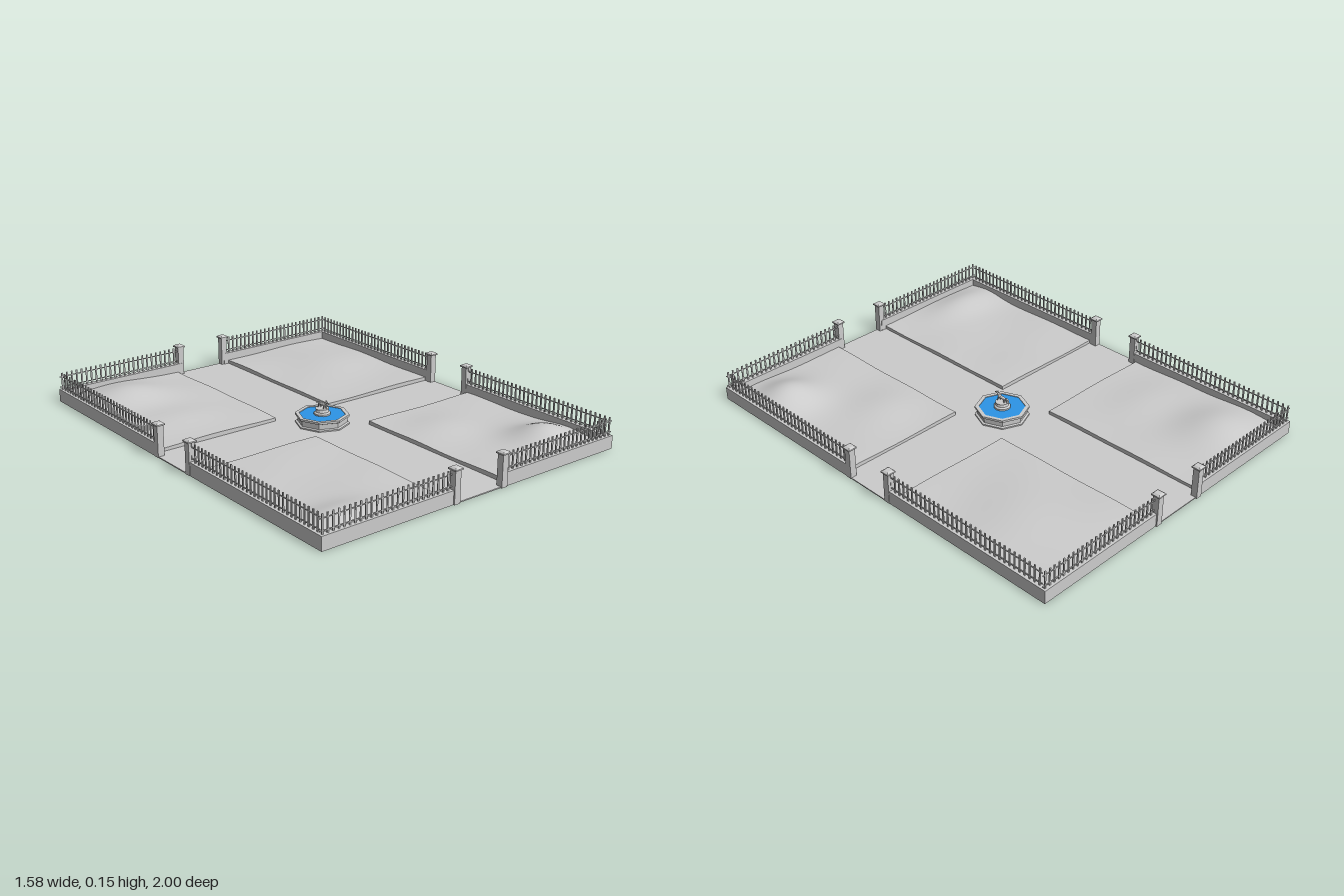
import * as THREE from 'three';
import { mergeGeometries } from 'three/addons/utils/BufferGeometryUtils.js';

const stone = new THREE.MeshStandardMaterial({ color: 0xcccccc });
stone.name = 'stone grey';
const water = new THREE.MeshStandardMaterial({ color: 0x2f9bf0 });
water.name = 'water blue';

const HX = 0.78, HZ = 0.988, WALL_H = 0.06, WALL_T = 0.026, FLOOR = 0.005;

function mesh(name, geo, mat = stone) {
  const m = new THREE.Mesh(geo, mat);
  m.name = name;
  return m;
}

function box(w, h, d, x, y, z) {
  return new THREE.BoxGeometry(w, h, d).translate(x, y, z);
}

// Faceted solid of revolution
function facetedLathe(points, sides) {
  const g = new THREE.LatheGeometry(points.map(p => new THREE.Vector2(...p)), sides).toNonIndexed();
  g.computeVertexNormals();
  return g;
}

// Tapered round limb between two points
function limb(a, b, r0, r1) {
  const p = new THREE.Vector3(...a), q = new THREE.Vector3(...b);
  const d = q.clone().sub(p);
  const g = new THREE.CylinderGeometry(r1, r0, d.length(), 8);
  g.applyQuaternion(new THREE.Quaternion().setFromUnitVectors(new THREE.Vector3(0, 1, 0), d.normalize()));
  const c = p.add(q).multiplyScalar(0.5);
  return g.translate(c.x, c.y, c.z);
}

function ball(x, y, z, sx, sy, sz) {
  return new THREE.SphereGeometry(1, 12, 8).scale(sx, sy, sz).translate(x, y, z);
}

// Lawn mounds: x, z, height, radius in x, radius in z
const mounds = [
  [-0.54, -0.77, 0.054, 0.19, 0.17],
  [0.6, 0.77, 0.06, 0.14, 0.13],
  [-0.58, 0.85, 0.036, 0.2, 0.11],
  [0.5, -0.65, 0.022, 0.2, 0.25],
  [-0.48, -0.4, 0.018, 0.2, 0.15],
  [0.35, 0.4, 0.012, 0.15, 0.15],
];

function lawnHeight(x, z) {
  let h = 0.021 + 0.003 * Math.sin(9 * x + 4 * z) * Math.cos(11 * z - 3 * x);
  for (const [mx, mz, a, rx, rz] of mounds)
    h += a * Math.exp(-(((x - mx) / rx) ** 2) - ((z - mz) / rz) ** 2);
  return h;
}

// Bed between the path edge and the wall, with a rolling top
function lawn(sx, sz) {
  const x0 = 0.15, x1 = HX - 0.02, z0 = 0.145, z1 = HZ - 0.02;
  const g = new THREE.BoxGeometry(x1 - x0, 1, z1 - z0, 36, 1, 48);
  g.translate(sx * (x0 + x1) / 2, 0.5, sz * (z0 + z1) / 2);
  const p = g.attributes.position;
  for (let i = 0; i < p.count; i++)
    p.setY(i, p.getY(i) > 0.5 ? lawnHeight(p.getX(i), p.getZ(i)) : 0.002);
  g.computeVertexNormals();
  return mesh('lawn', g);
}

// One straight wall with railing, running along x from a to b
function wallRun(a, b, offset, alongZ) {
  const run = new THREE.Group();
  run.name = 'fencedWall';
  const len = b - a, mid = (a + b) / 2;
  const place = (w, h, t, u, y) => alongZ ? box(t, h, w, offset, y, u) : box(w, h, t, u, y, offset);
  run.add(mesh('wall', place(len, WALL_H, WALL_T, mid, WALL_H / 2)));
  const rails = [0.073, 0.122].map(y => place(len, 0.004, 0.004, mid, y));
  run.add(mesh('rails', mergeGeometries(rails)));
  const n = Math.round(len / 0.0255), pickets = [];
  for (let i = 0; i < n; i++)
    pickets.push(place(0.007, 0.083, 0.005, a + (i + 0.5) * len / n, 0.0985));
  run.add(mesh('pickets', mergeGeometries(pickets)));
  return run;
}

// Gate pillar with a capped top
function pillar(x, z) {
  const g = new THREE.Group();
  g.name = 'gatePillar';
  g.add(mesh('shaft', box(0.03, 0.141, 0.03, 0, 0.0705, 0)));
  g.add(mesh('cap', box(0.042, 0.006, 0.042, 0, 0.144, 0)));
  const top = new THREE.CylinderGeometry(0.017, 0.0297, 0.006, 4).rotateY(Math.PI / 4).toNonIndexed();
  top.computeVertexNormals();
  g.add(mesh('capTop', top.translate(0, 0.15, 0)));
  g.position.set(x, 0, z);
  return g;
}

function fountain() {
  const g = new THREE.Group();
  g.name = 'fountain';
  // Octagonal basin with base step and overhanging rim
  g.add(mesh('basin', facetedLathe([
    [0.122, 0.003], [0.122, 0.011], [0.112, 0.014], [0.112, 0.036],
    [0.122, 0.04], [0.122, 0.05], [0.104, 0.05], [0.104, 0.02], [0, 0.02],
  ], 8)));
  g.add(mesh('waterSurface', new THREE.CylinderGeometry(0.104, 0.104, 0.004, 8).translate(0, 0.045, 0), water));
  g.add(mesh('pedestal', facetedLathe([
    [0.038, 0.03], [0.038, 0.054], [0.03, 0.06], [0.027, 0.07], [0.031, 0.071], [0.031, 0.075], [0, 0.075],
  ], 12)));

  // Standing animal, head raised toward the front
  const parts = [
    ball(0, 0.094, 0.002, 0.007, 0.0075, 0.024),
    ball(0, 0.096, 0.014, 0.0078, 0.009, 0.011),
    limb([0, 0.097, 0.018], [0, 0.109, 0.029], 0.006, 0.0045),
    ball(0, 0.11, 0.031, 0.005, 0.005, 0.007),
    limb([0, 0.109, 0.034], [0, 0.107, 0.043], 0.0035, 0.002),
    limb([0, 0.096, -0.02], [0, 0.09, -0.042], 0.003, 0.001),
  ];
  for (const s of [-1, 1]) {
    parts.push(limb([s * 0.003, 0.112, 0.029], [s * 0.004, 0.118, 0.027], 0.002, 0.0005));
    parts.push(limb([s * 0.005, 0.093, 0.017], [s * 0.005, 0.074, 0.02 + s * 0.004], 0.0038, 0.002));
    parts.push(limb([s * 0.005, 0.093, -0.016], [s * 0.005, 0.074, -0.02 + s * 0.004], 0.0042, 0.002));
  }
  g.add(mesh('statue', mergeGeometries(parts)));
  return g;
}

export function createModel() {
  const model = new THREE.Group();
  model.name = 'walledGarden';
  model.add(mesh('pavedGround', box(2 * HX, FLOOR, 2 * HZ, 0, FLOOR / 2, 0)));

  for (const sx of [-1, 1]) for (const sz of [-1, 1]) {
    model.add(lawn(sx, sz));
    // Wall along x, then wall along z, meeting at the corner
    const xs = [sx * 0.125, sx * HX].sort((a, b) => a - b);
    const zs = [sz * 0.12, sz * (HZ - WALL_T)].sort((a, b) => a - b);
    model.add(wallRun(xs[0], xs[1], sz * (HZ - WALL_T / 2), false));
    model.add(wallRun(zs[0], zs[1], sx * (HX - WALL_T / 2), true));
    model.add(pillar(sx * 0.128, sz * 0.979));
    model.add(pillar(sx * 0.767, sz * 0.12));
  }

  model.add(fountain());
  return model;
}
